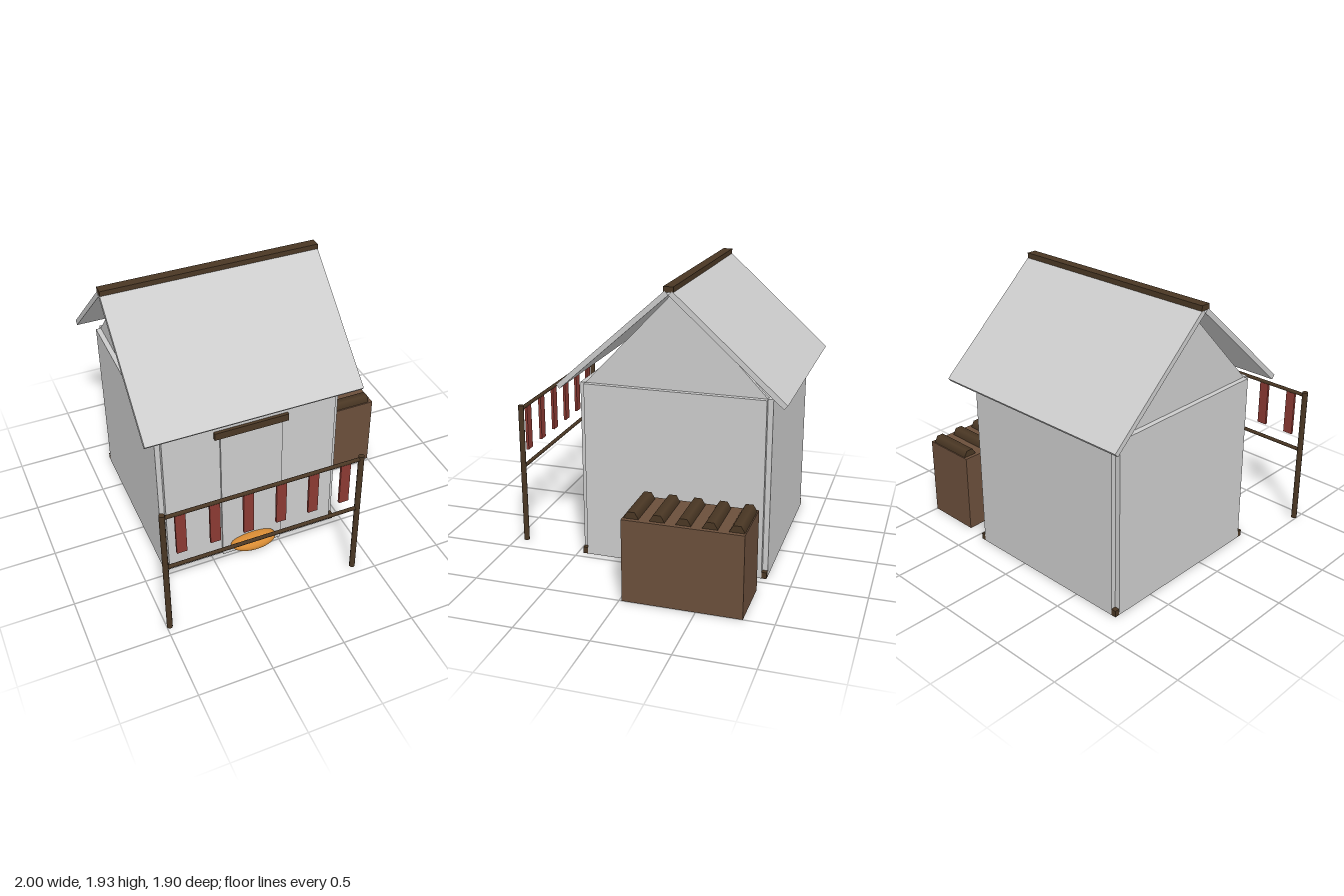
import * as THREE from 'three';

const mat = (name, color) => {
  const m = new THREE.MeshStandardMaterial({ color });
  m.name = name;
  return m;
};

export function createModel() {
  const model = new THREE.Group();
  model.name = 'hut';
  const plaster = mat('pale plaster', 0xcccccc);
  const darkWood = mat('dark wood', 0x4a3724);
  const crateWood = mat('crate wood', 0x6b4f3b);
  const redCloth = mat('red cloth', 0x8b3a33);
  const orange = mat('orange', 0xd98c34);

  const add = (name, geometry, material, x, y, z, parent = model) => {
    const mesh = new THREE.Mesh(geometry, material);
    mesh.name = name;
    mesh.position.set(x, y, z);
    parent.add(mesh);
    return mesh;
  };
  // Box given by its minimum and maximum corners
  const box = (name, material, [x0, y0, z0], [x1, y1, z1], parent) =>
    add(name, new THREE.BoxGeometry(x1 - x0, y1 - y0, z1 - z0), material,
      (x0 + x1) / 2, (y0 + y1) / 2, (z0 + z1) / 2, parent);
  // Round bar lying along x
  const bar = (name, material, radius, length, sides, x, y, z, parent) =>
    add(name, new THREE.CylinderGeometry(radius, radius, length, sides).rotateZ(Math.PI / 2),
      material, x, y, z, parent);

  // House: floor and four walls with notched corners
  const cx = -0.2, cz = -0.183, wallTop = 1.23;
  const inner = 0.612, outer = 0.647, ledge = 0.001;
  box('floor', darkWood, [cx - outer + ledge, 0, cz - outer + ledge],
    [cx + outer - ledge, 0.045, cz + outer - ledge]);
  for (const s of [-1, 1]) {
    const thick = outer - inner, mid = s * (inner + outer) / 2;
    const height = wallTop - ledge, y = ledge + height / 2;
    add(s > 0 ? 'frontWall' : 'backWall', new THREE.BoxGeometry(2 * inner, height, thick),
      plaster, cx, y, cz + mid);
    add(s > 0 ? 'leftWall' : 'rightWall', new THREE.BoxGeometry(thick, height, 2 * inner),
      plaster, cx + mid, y, cz);
  }

  // Gables, set back behind the tops of the side walls
  const gable = new THREE.Shape([
    new THREE.Vector2(-inner, 0), new THREE.Vector2(inner, 0), new THREE.Vector2(0, 0.645),
  ]);
  const gableGeometry = new THREE.ExtrudeGeometry(gable, { depth: 0.03, bevelEnabled: false })
    .translate(0, 0, -0.015).rotateY(Math.PI / 2);
  for (const s of [-1, 1]) {
    add(s > 0 ? 'leftGable' : 'rightGable', gableGeometry, plaster, cx + s * (inner - 0.015), wallTop, cz);
  }

  // Roof slabs, extruded along x from their sloping section
  const eave = [0.739, 1.215], peak = [0, 1.877], t = 0.035;
  const run = eave[0], rise = peak[1] - eave[1], len = Math.hypot(run, rise);
  const nz = t * rise / len, ny = t * run / len;
  for (const s of [-1, 1]) {
    const slab = new THREE.Shape([
      eave, [eave[0] + nz, eave[1] + ny], [nz, peak[1] + ny], peak,
    ].map(([z, y]) => new THREE.Vector2(-s * z, y)));
    const geometry = new THREE.ExtrudeGeometry(slab, { depth: 1.5, bevelEnabled: false })
      .translate(0, 0, -0.75).rotateY(Math.PI / 2);
    add(s > 0 ? 'frontRoof' : 'backRoof', geometry, plaster, cx, 0, cz);
  }
  box('ridgeBeam', darkWood, [-0.95, 1.895, cz - 0.033], [0.55, 1.93, cz + 0.033]);

  // Door and its lintel
  box('door', plaster, [-0.42, 0.002, 0.46], [0.02, 1.09, 0.48]);
  box('lintel', darkWood, [-0.46, 1.062, 0.46], [0.06, 1.115, 0.487]);

  // Orange oval lying at the door
  add('orangeOval', new THREE.SphereGeometry(1, 24, 16).scale(0.167, 0.055, 0.085), orange, cx, 0.085, 0.505);

  // Drying rack with hanging strips
  const rack = new THREE.Group();
  rack.name = 'dryingRack';
  model.add(rack);
  const rackZ = 0.93;
  for (const x of [-0.98, 0.36]) {
    add('rackPost', new THREE.CylinderGeometry(0.02, 0.02, 1.005, 8), darkWood, x, 0.5025, rackZ, rack);
  }
  for (const y of [0.98, 0.555]) {
    bar('rackRail', darkWood, 0.013, 1.34, 8, -0.31, y, rackZ, rack);
  }
  for (let i = 0; i < 6; i++) {
    add('hangingStrip', new THREE.BoxGeometry(0.068, 0.32, 0.018), redCloth,
      -0.868 + i * 0.2235, 0.815, rackZ, rack);
  }

  // Crate topped with a row of logs
  box('crate', crateWood, [0.61, 0, -0.8], [1, 0.56, -0.018]);
  for (let i = 0; i < 5; i++) {
    bar('log', darkWood, 0.049, 0.335, 6, 0.803, 0.562, -0.745 + i * 0.1675);
  }
  return model;
}
